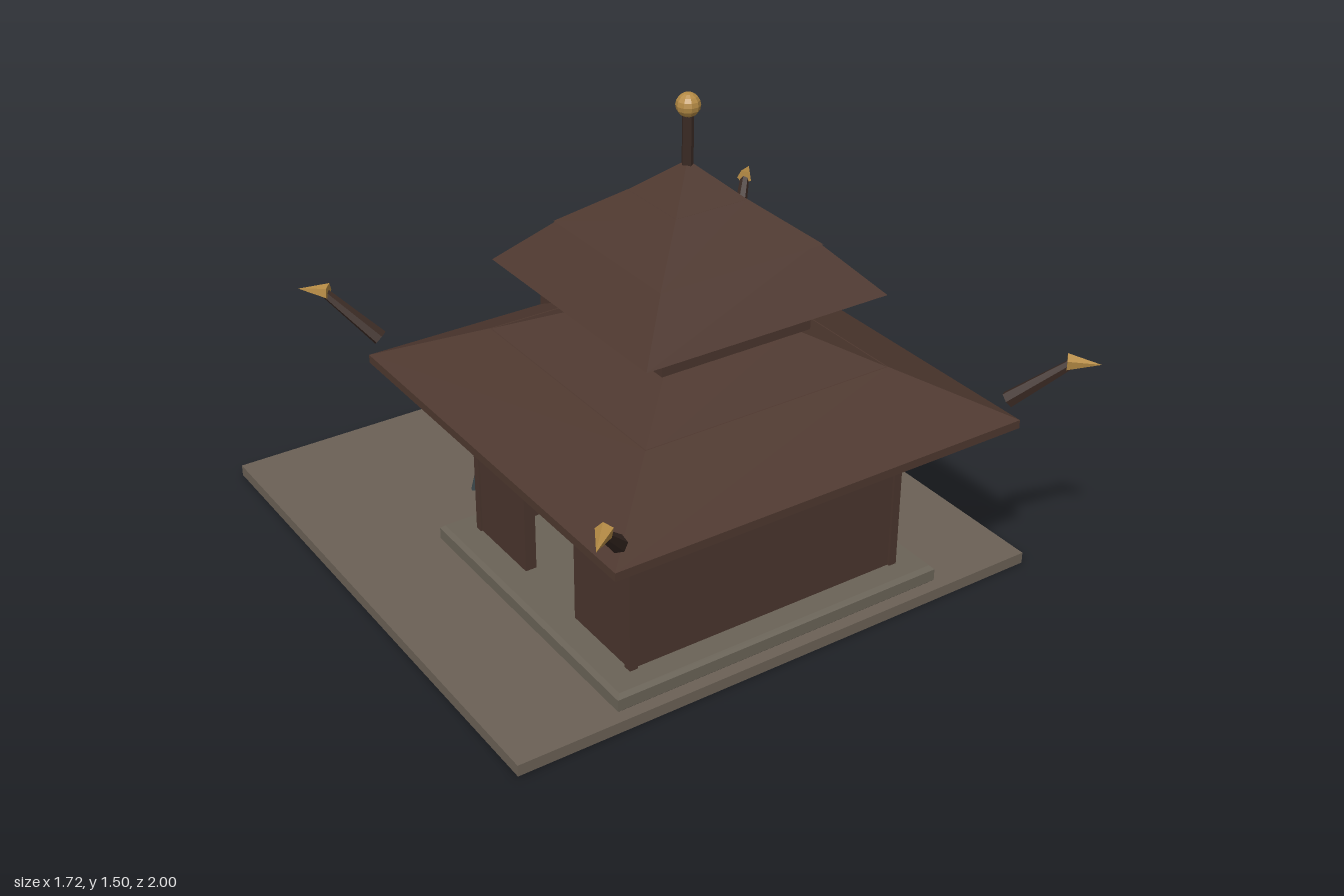
import * as THREE from 'three';

const CZ = 0.208; // centre of the building along z

const makeMaterial = (name, color) => {
  const m = new THREE.MeshStandardMaterial({ color, flatShading: true });
  m.name = name;
  return m;
};

export function createModel() {
  const ground = makeMaterial('ground stone', 0x6b6156);
  const stone = makeMaterial('plinth stone', 0x6a6357);
  const wall = makeMaterial('wall wood', 0x4a352d);
  const roof = makeMaterial('roof wood', 0x4e382f);
  const dark = makeMaterial('dark wood', 0x3a2a24);
  const slate = makeMaterial('slate', 0x3f4b4f);
  const gold = makeMaterial('gold', 0xb58b45);

  const model = new THREE.Group();
  model.name = 'pavilion';

  const add = (name, geometry, material, parent = model) => {
    const mesh = new THREE.Mesh(geometry, material);
    mesh.name = name;
    parent.add(mesh);
    return mesh;
  };
  // Box given by its limits on each axis
  const box = (name, material, x0, x1, y0, y1, z0, z1, parent) => {
    const mesh = add(name, new THREE.BoxGeometry(x1 - x0, y1 - y0, z1 - z0), material, parent);
    mesh.position.set((x0 + x1) / 2, (y0 + y1) / 2, (z0 + z1) / 2);
    return mesh;
  };
  // Four-sided frustum: half widths and heights at bottom and top
  const frustum = (name, material, half0, y0, half1, y1, parent) => {
    const g = new THREE.CylinderGeometry(half1 * Math.SQRT2, half0 * Math.SQRT2, y1 - y0, 4);
    g.rotateY(Math.PI / 4);
    const mesh = add(name, g, material, parent);
    mesh.position.set(0, (y0 + y1) / 2, CZ);
    return mesh;
  };
  // Tapered round bar between two points
  const bar = (name, material, a, b, r0, r1, sides, parent) => {
    const dir = b.clone().sub(a);
    const mesh = add(name, new THREE.CylinderGeometry(r1, r0, dir.length(), sides), material, parent);
    mesh.position.copy(a).add(b).multiplyScalar(0.5);
    mesh.quaternion.setFromUnitVectors(new THREE.Vector3(0, 1, 0), dir.normalize());
    return mesh;
  };
  const v = (x, y, z) => new THREE.Vector3(x, y, z);

  // Courtyard slab
  box('groundSlab', ground, -0.86, 0.86, 0, 0.035, -1, 0.72);

  // Plinth with bevelled edges
  const px = 0.528, pz = 0.473;
  const outline = new THREE.Shape([
    new THREE.Vector2(-px, -pz), new THREE.Vector2(px, -pz),
    new THREE.Vector2(px, pz), new THREE.Vector2(-px, pz),
  ]);
  const plinthGeo = new THREE.ExtrudeGeometry(outline, {
    depth: 0.036, bevelEnabled: true, bevelSize: 0.012, bevelThickness: 0.012, bevelSegments: 1,
  });
  plinthGeo.rotateX(-Math.PI / 2);
  add('plinth', plinthGeo, stone).position.set(0, 0.047, CZ);

  // Hall: three closed walls and a doorway in the side wall
  const hall = new THREE.Group();
  hall.name = 'hall';
  model.add(hall);
  const wx = 0.45, wz = 0.405, t = 0.035, y0 = 0.09, y1 = 0.61;
  const zb = CZ - wz, zf = CZ + wz;
  box('frontWall', wall, -wx, wx, y0, y1, zf - t, zf, hall);
  box('backWall', wall, -wx, wx, y0, y1, zb, zb + t, hall);
  box('leftWall', wall, wx - t, wx, y0, y1, zb + t, zf - t, hall);
  box('doorWallBack', wall, -wx, -wx + t, y0, y1, zb + t, 0.07, hall);
  box('doorWallFront', wall, -wx, -wx + t, y0, y1, 0.335, zf - t, hall);
  box('doorLintel', wall, -wx, -wx + t, 0.5, y1, 0.07, 0.335, hall);
  for (const sx of [-1, 1]) {
    for (const sz of [-1, 1]) {
      const x = sx * 0.443, z = CZ + sz * 0.4;
      box('cornerPost', wall, x - 0.0125, x + 0.0125, y0, y1, z - 0.0125, z + 0.0125, hall);
    }
  }
  box('backBoard', dark, -0.12, 0.12, 0.52, 0.6, -0.228, -0.197, hall);

  // Lower roof: fascia and overlapping tiers
  const lowerRoof = new THREE.Group();
  lowerRoof.name = 'lowerRoof';
  model.add(lowerRoof);
  frustum('eave', roof, 0.652, 0.6, 0.652, 0.625, lowerRoof);
  frustum('lowerTier', roof, 0.652, 0.625, 0.395, 0.75, lowerRoof);
  frustum('middleTier', roof, 0.412, 0.74, 0.208, 0.84, lowerRoof);
  frustum('topTier', roof, 0.222, 0.833, 0.19, 0.85, lowerRoof);

  // Upper storey and its roof
  frustum('upperStorey', wall, 0.242, 0.843, 0.242, 0.975);
  const upperRoof = new THREE.Group();
  upperRoof.name = 'upperRoof';
  model.add(upperRoof);
  frustum('lowerTier', roof, 0.385, 0.967, 0.25, 1.105, upperRoof);
  frustum('middleTier', roof, 0.26, 1.1, 0.115, 1.212, upperRoof);
  frustum('peak', roof, 0.122, 1.205, 0, 1.312, upperRoof);

  // Finial
  bar('finialPole', dark, v(0, 1.27, CZ), v(0, 1.45, CZ), 0.016, 0.016, 8);
  add('finialBall', new THREE.SphereGeometry(0.034, 10, 8), gold).position.set(0, 1.467, CZ);

  // Corner horns with gilded tips
  for (const sx of [-1, 1]) {
    for (const sz of [-1, 1]) {
      const horn = new THREE.Group();
      horn.name = 'cornerHorn';
      model.add(horn);
      const at = (d, y) => v(sx * d, y, CZ + sz * d);
      bar('hornShaft', dark, at(0.625, 0.685), at(0.735, 0.812), 0.024, 0.014, 6, horn);
      bar('hornTip', gold, at(0.728, 0.818), at(0.792, 0.818), 0.024, 0, 5, horn);
    }
  }

  // Totem post behind the hall
  const totem = new THREE.Group();
  totem.name = 'totemPost';
  totem.position.set(0, 0, -0.413);
  model.add(totem);
  const octagon = (name, material, r0, ya, r1, yb) => {
    const g = new THREE.CylinderGeometry(r1, r0, yb - ya, 8);
    g.rotateY(Math.PI / 8);
    add(name, g, material, totem).position.y = (ya + yb) / 2;
  };
  octagon('post', dark, 0.059, 0.002, 0.059, 0.63);
  octagon('head', wall, 0.062, 0.6, 0.062, 0.82);
  octagon('capRim', slate, 0.072, 0.812, 0.058, 0.852);
  octagon('capPeak', slate, 0.058, 0.852, 0.004, 0.892);
  for (const angle of [Math.PI / 2, Math.PI, -Math.PI / 2]) {
    const pivot = new THREE.Group();
    pivot.name = 'headPanel';
    pivot.rotation.y = angle;
    totem.add(pivot);
    box('panel', wall, -0.035, 0.035, 0.605, 0.735, 0.05, 0.076, pivot);
  }

  // Bundles of leaning stakes
  for (const x of [-0.3, 0.295]) {
    const stakes = new THREE.Group();
    stakes.name = 'stakeBundle';
    stakes.position.set(x, 0, -0.435);
    model.add(stakes);
    for (let i = 0; i < 3; i++) {
      const a = -1.98 + (i * Math.PI * 2) / 3;
      const c = Math.cos(a), s = Math.sin(a);
      bar('stake', slate, v(0.05 * c, 0.006, 0.05 * s), v(-0.006 * c, 0.235, -0.006 * s), 0.009, 0.006, 5, stakes);
    }
  }

  return model;
}
